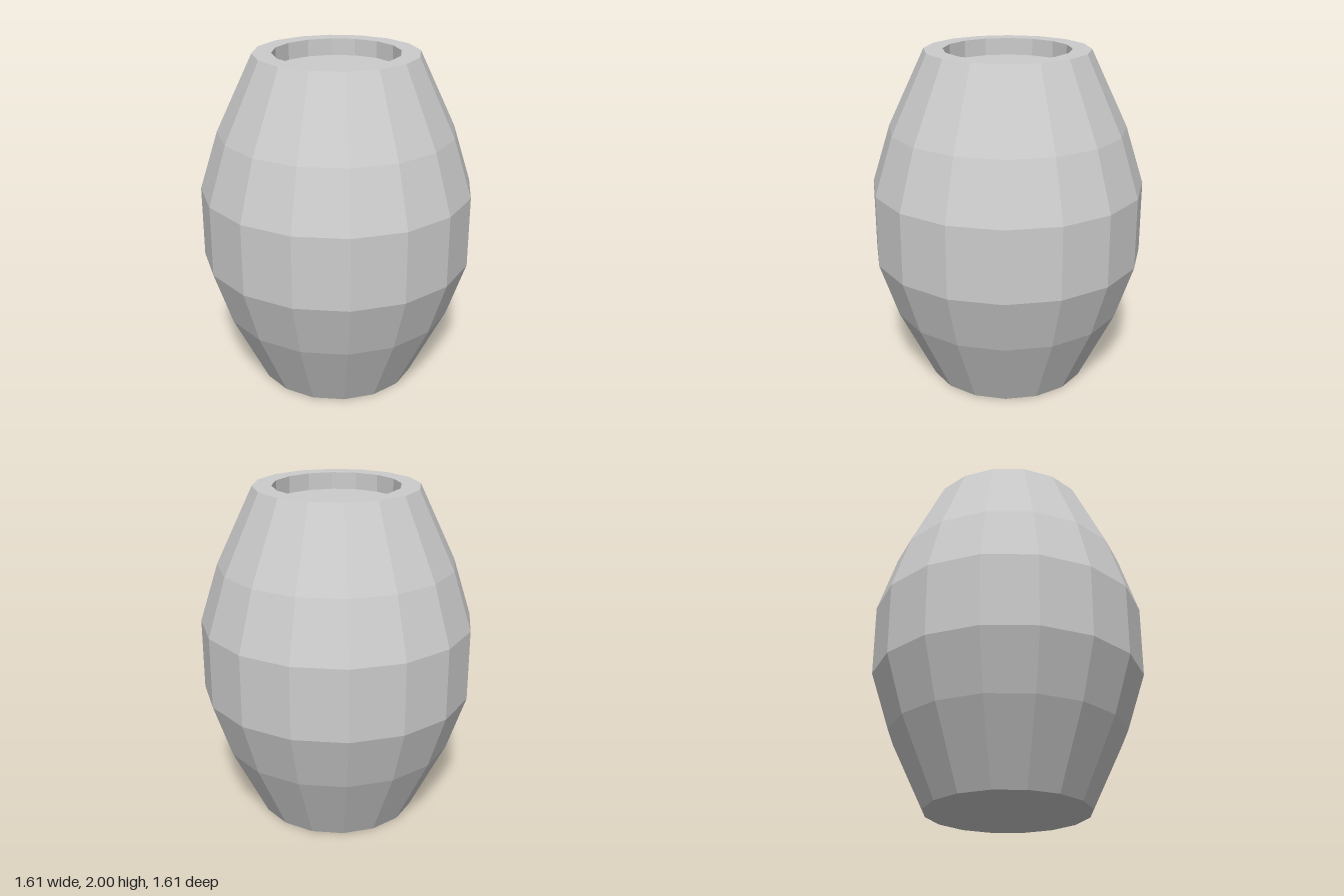
import * as THREE from 'three';

const SIDES = 16;

export function createModel() {
  const group = new THREE.Group();
  group.name = 'barrel';
  const grey = new THREE.MeshStandardMaterial({ color: 0xcccccc, flatShading: true });
  grey.name = 'plain grey';

  // Revolve a profile of [radius, height] points, listed from the bottom up and inwards
  const addLathe = (name, profile) => {
    const points = profile.map(([r, y]) => new THREE.Vector2(r, y));
    const mesh = new THREE.Mesh(new THREE.LatheGeometry(points, SIDES), grey);
    mesh.name = name;
    group.add(mesh);
  };

  // Flat horizontal disc
  const addDisc = (name, radius, y, facing) => {
    const geometry = new THREE.CircleGeometry(radius, SIDES);
    geometry.rotateX(-facing * Math.PI / 2);
    const mesh = new THREE.Mesh(geometry, grey);
    mesh.name = name;
    mesh.position.y = y;
    group.add(mesh);
  };

  // Bulging staves
  addLathe('body', [[0.48, 0], [0.695, 0.445], [0.805, 0.78], [0.805, 1.205], [0.695, 1.55], [0.48, 2]]);
  // Top rim and the wall of the recess
  addLathe('rim', [[0.48, 2], [0.37, 2], [0.37, 1.9]]);
  // Sunken lid and base
  addDisc('lid', 0.37, 1.9, 1);
  addDisc('base', 0.48, 0, -1);

  return group;
}
